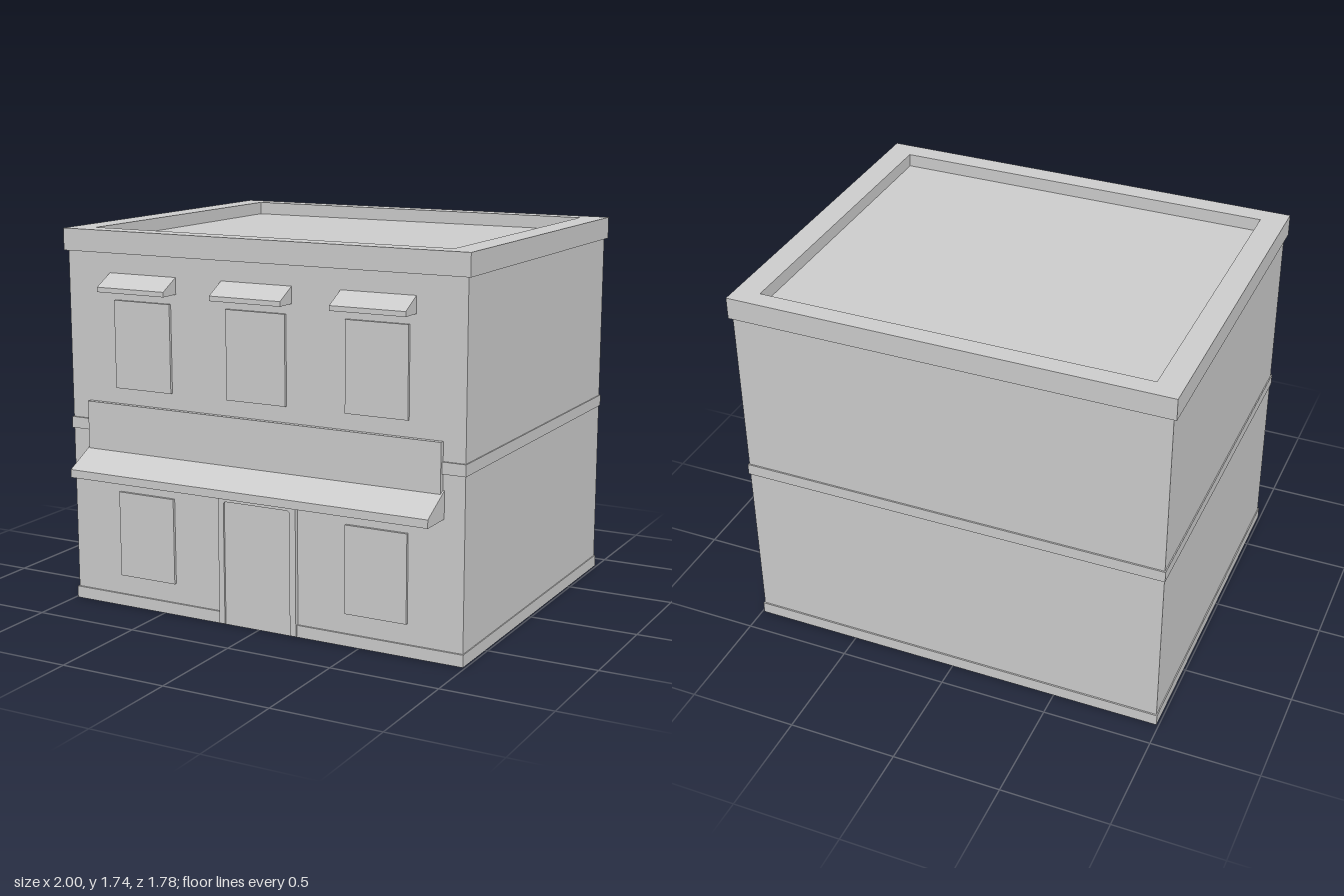
import * as THREE from 'three';

const material = new THREE.MeshStandardMaterial({ color: 0xcccccc, flatShading: true });

export function createModel() {
  const model = new THREE.Group();

  const add = (name, geometry) => {
    const mesh = new THREE.Mesh(geometry, material);
    mesh.name = name;
    model.add(mesh);
    return mesh;
  };

  // Box given by its extents on each axis
  const box = (name, x0, x1, y0, y1, z0, z1) =>
    add(name, new THREE.BoxGeometry(x1 - x0, y1 - y0, z1 - z0))
      .position.set((x0 + x1) / 2, (y0 + y1) / 2, (z0 + z1) / 2);

  // Sloped canopy: side profile of [z, y] points extruded along x
  const awning = (name, x, width, profile) => {
    const shape = new THREE.Shape(profile.map(([z, y]) => new THREE.Vector2(-z, y)));
    const geometry = new THREE.ExtrudeGeometry(shape, { depth: width, bevelEnabled: false });
    geometry.rotateY(Math.PI / 2).translate(x - width / 2, 0, 0);
    add(name, geometry);
  };

  // Rectangle outline for shapes and holes
  const rect = (path, x0, x1, y0, y1) =>
    path.moveTo(x0, y0).lineTo(x1, y0).lineTo(x1, y1).lineTo(x0, y1).closePath();

  // Main volume with base and floor bands
  box('walls', -0.985, 0.985, 0, 1.68, -0.876, 0.729);
  box('baseBand', -0.99, 0.99, 0, 0.055, -0.883, 0.738);
  box('floorBand', -0.99, 0.99, 0.82, 0.872, -0.883, 0.738);

  // Parapet ring around the sunken roof
  const ring = new THREE.Shape();
  rect(ring, -1, 1, -0.745, 0.889);
  const opening = new THREE.Path();
  rect(opening, -0.885, 0.885, -0.652, 0.802);
  ring.holes.push(opening);
  const parapet = new THREE.ExtrudeGeometry(ring, { depth: 0.1, bevelEnabled: false });
  add('parapet', parapet.rotateX(-Math.PI / 2).translate(0, 1.64, 0));

  // Windows, with a small awning over each upper one
  for (const x of [-0.587, -0.003, 0.58]) {
    box('upperWindow', x - 0.147, x + 0.147, 1.03, 1.43, 0.7, 0.742);
    awning('windowAwning', x, 0.35, [[0.7, 1.475], [0.828, 1.475], [0.828, 1.497], [0.729, 1.55], [0.7, 1.55]]);
    if (Math.abs(x) > 0.1) box('lowerWindow', x - 0.147, x + 0.147, 0.147, 0.545, 0.7, 0.742);
  }

  // Sign board and shop awning
  box('signBoard', -0.887, 0.883, 0.7, 0.957, 0.7, 0.752);
  awning('shopAwning', -0.001, 1.784, [[0.7, 0.627], [0.889, 0.627], [0.889, 0.664], [0.729, 0.75], [0.7, 0.75]]);

  // Door leaf and its surround
  box('door', -0.175, 0.17, 0.005, 0.58, 0.7, 0.74);
  const surround = new THREE.Shape();
  const x0 = -0.17, x1 = 0.165, top = 0.572, r = 0.015;
  surround.moveTo(-0.198, 0.005).lineTo(x0, 0.005).lineTo(x0, top - r);
  surround.quadraticCurveTo(x0, top, x0 + r, top).lineTo(x1 - r, top);
  surround.quadraticCurveTo(x1, top, x1, top - r).lineTo(x1, 0.005);
  surround.lineTo(0.195, 0.005).lineTo(0.195, 0.6).lineTo(-0.198, 0.6).closePath();
  const frame = new THREE.ExtrudeGeometry(surround, { depth: 0.05, bevelEnabled: false, curveSegments: 4 });
  add('doorFrame', frame.translate(0, 0, 0.699));

  return model;
}
